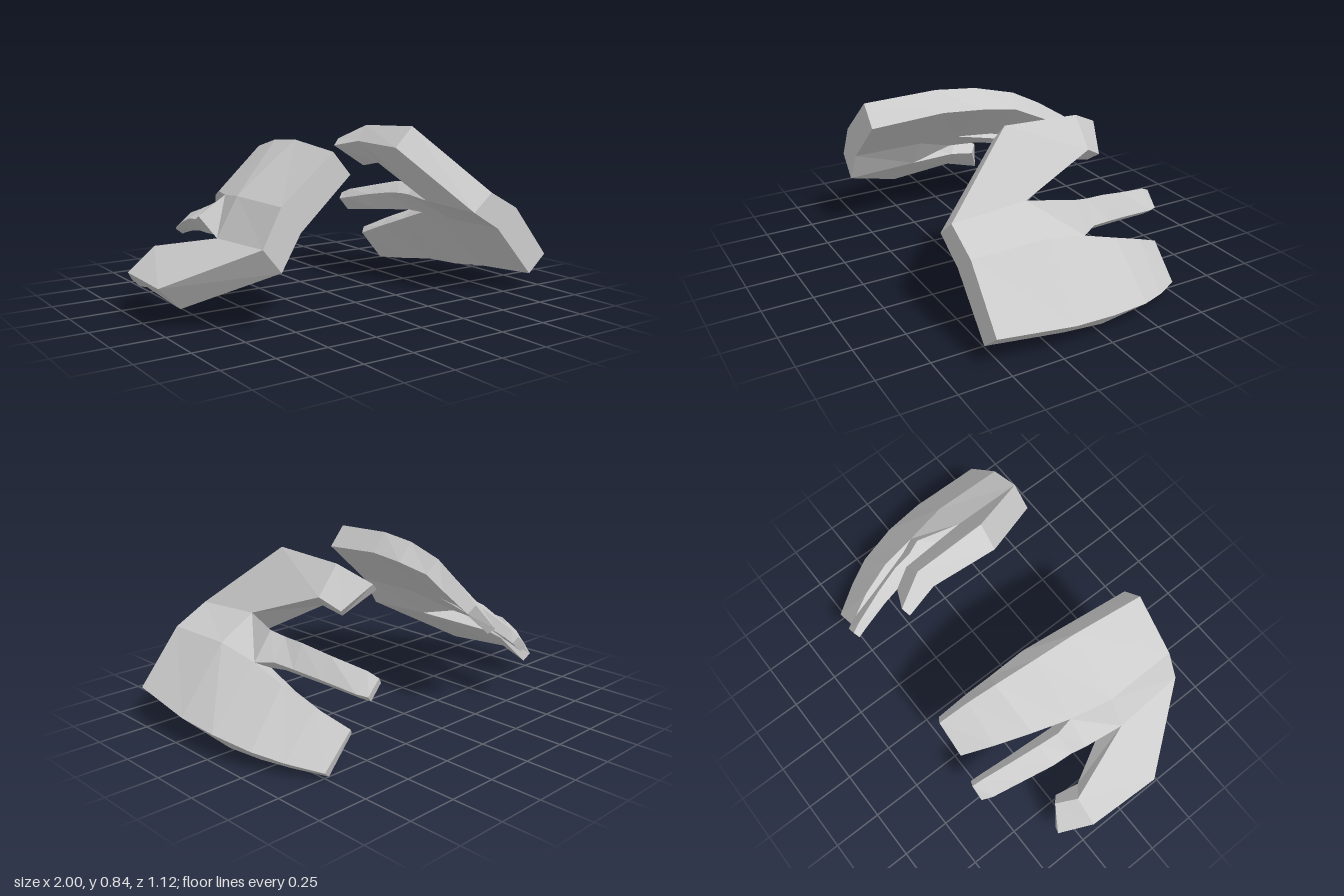
import * as THREE from 'three';

const material = new THREE.MeshStandardMaterial({ color: 0xcccccc, flatShading: true });

// Skins four-cornered cross-sections running from wrist to fingertip.
// Corner order: back/thumb side, back/far side, palm/far side, palm/thumb side.
// skip lists "segment:side" walls that are shared with a neighbouring part.
function loft(name, rings, skip = [], startCap = true) {
  const positions = [];
  const quad = (a, b, c, d) => positions.push(...a, ...b, ...c, ...a, ...c, ...d);
  for (let i = 0; i < rings.length - 1; i++) {
    for (let j = 0; j < 4; j++) {
      if (skip.includes(`${i}:${j}`)) continue;
      const k = (j + 1) % 4;
      quad(rings[i][j], rings[i][k], rings[i + 1][k], rings[i + 1][j]);
    }
  }
  if (startCap) quad(...[...rings[0]].reverse());
  quad(...rings[rings.length - 1]);
  const geometry = new THREE.BufferGeometry();
  geometry.setAttribute('position', new THREE.Float32BufferAttribute(positions, 3));
  geometry.computeVertexNormals();
  const mesh = new THREE.Mesh(geometry, material);
  mesh.name = name;
  return mesh;
}

function createHand(name) {
  const hand = new THREE.Group();
  hand.name = name;

  // Wrist and crotch corners shared by the thumb and the palm
  const wristBack = [0.59, 0.53, 0.56], wristPalm = [0.48, 0.44, 0.56];
  const webBack = [0.58, 0.55, 0.19], webPalm = [0.49, 0.45, 0.19];

  // Crease down the middle of the palm, ending between the fingers
  const creaseBack = [[0.76, 0.44, 0.56], [0.76, 0.445, 0.19], [0.735, 0.395, -0.02]];
  const creasePalm = [[0.64, 0.345, 0.56], [0.64, 0.345, 0.19], [0.64, 0.345, -0.02]];

  // Inner half of the palm, running into the index finger
  hand.add(loft('indexFinger', [
    [wristBack, creaseBack[0], creasePalm[0], wristPalm],
    [webBack, creaseBack[1], creasePalm[1], webPalm],
    [[0.645, 0.53, -0.03], creaseBack[2], creasePalm[2], [0.55, 0.45, -0.03]],
    [[0.62, 0.51, -0.1], [0.69, 0.405, -0.1], [0.62, 0.35, -0.1], [0.545, 0.45, -0.1]],
    [[0.605, 0.5, -0.2], [0.66, 0.39, -0.2], [0.6, 0.34, -0.2], [0.54, 0.44, -0.2]],
    [[0.565, 0.467, -0.34], [0.62, 0.367, -0.34], [0.57, 0.325, -0.34], [0.515, 0.415, -0.34]],
    [[0.505, 0.425, -0.51], [0.575, 0.338, -0.51], [0.535, 0.305, -0.5], [0.475, 0.38, -0.5]],
    [[0.485, 0.4, -0.56], [0.55, 0.33, -0.56], [0.52, 0.3, -0.547], [0.46, 0.37, -0.547]],
  ], ['0:1', '1:1', '0:3']));

  // Outer half of the palm, running into the joined fingers
  hand.add(loft('joinedFingers', [
    [creaseBack[0], [0.975, 0.18, 0.56], [0.87, 0.09, 0.56], creasePalm[0]],
    [creaseBack[1], [0.997, 0.14, 0.19], [0.9, 0.055, 0.19], creasePalm[1]],
    [creaseBack[2], [0.98, 0.12, -0.02], [0.89, 0.028, -0.02], creasePalm[2]],
    [[0.725, 0.335, -0.2], [0.93, 0.09, -0.23], [0.86, 0.025, -0.21], [0.645, 0.28, -0.2]],
    [[0.68, 0.265, -0.37], [0.86, 0.062, -0.37], [0.8, 0.01, -0.34], [0.625, 0.22, -0.36]],
    [[0.615, 0.19, -0.52], [0.765, 0.035, -0.52], [0.725, 0, -0.5], [0.59, 0.16, -0.5]],
  ], ['0:3', '1:3']));

  // Thumb, flaring out from the wrist edge as a wedge
  hand.add(loft('thumb', [
    [wristBack, wristBack, wristPalm, wristPalm],
    [[0.39, 0.837, 0.19], webBack, webPalm, [0.285, 0.735, 0.19]],
    [[0.385, 0.82, -0.19], [0.495, 0.685, -0.19], [0.42, 0.62, -0.13], [0.31, 0.74, -0.16]],
    [[0.31, 0.74, -0.345], [0.45, 0.63, -0.285], [0.41, 0.595, -0.25], [0.272, 0.705, -0.33]],
  ], ['0:1'], false));
  return hand;
}

export function createModel() {
  const model = new THREE.Group();
  model.name = 'pairOfHands';
  model.add(createHand('leftSideHand'));

  // The other hand is the same shape rolled a quarter turn
  const other = createHand('rightSideHand');
  other.rotation.z = Math.PI / 2;
  other.position.set(-0.165, -0.19, 0);
  model.add(other);
  return model;
}
